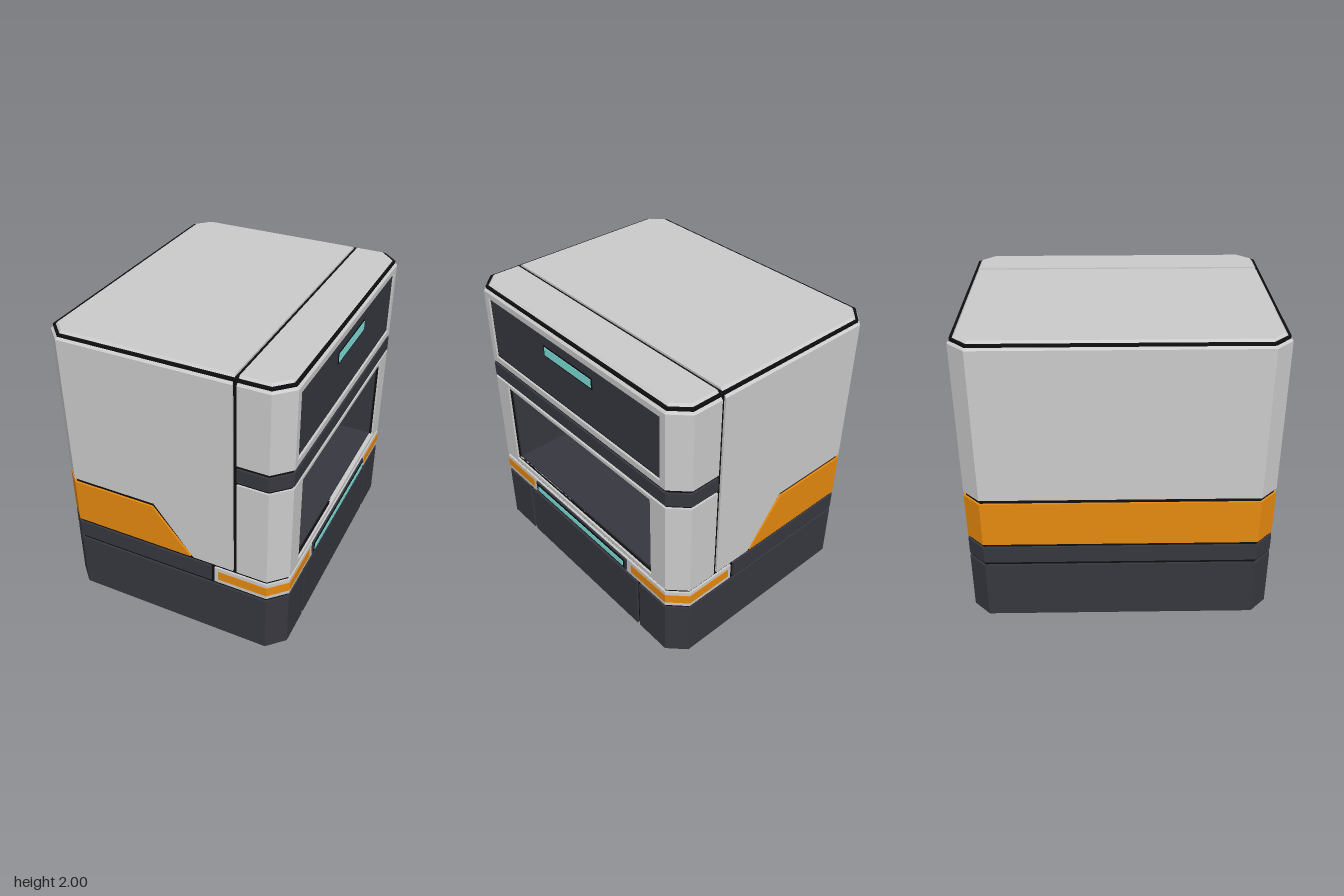
import * as THREE from 'three';
import { ConvexGeometry } from 'three/addons/geometries/ConvexGeometry.js';

const L = -0.805, R = 0.79, F = 1, CHAMFER = 0.11, BEVEL = 0.045;
const paint = (color) => new THREE.MeshStandardMaterial({ color });

export function createModel() {
  const model = new THREE.Group();
  const grey = paint(0xcccccc), dark = paint(0x37383f), black = paint(0x0e0e10);
  const orange = paint(0xe6890f), teal = paint(0x80e4de);

  const add = (name, geometry, material) => {
    const mesh = new THREE.Mesh(geometry, material);
    mesh.name = name;
    model.add(mesh);
  };

  // Part of the chamfered footprint; only bounds on the outer walls are inset.
  const ring = (y, x0, x1, z0, z1, inset) => {
    const xs = [x0, x1], zs = [z0, z1], points = [];
    const c = CHAMFER - inset * (2 - Math.SQRT2);
    for (const i of [0, 1]) for (const j of [0, 1]) {
      const outX = xs[i] === [L, R][i], outZ = zs[j] === [-F, F][j];
      const sx = i ? 1 : -1, sz = j ? 1 : -1;
      const x = xs[i] - (outX ? sx * inset : 0), z = zs[j] - (outZ ? sz * inset : 0);
      if (outX && outZ) {
        points.push(new THREE.Vector3(x - sx * c, y, z), new THREE.Vector3(x, y, z - sz * c));
      } else points.push(new THREE.Vector3(x, y, z));
    }
    return points;
  };
  // Upright slab of the footprint, with an optional bevelled top edge
  const slab = (name, material, y0, y1, { x = [L, R], z = [-F, F], inset = 0, bevel = 0 } = {}) => {
    const at = (y, d) => ring(y, ...x, ...z, d);
    const points = [...at(y0, inset), ...at(y1 - bevel, inset)];
    if (bevel) points.push(...at(y1, inset + bevel));
    add(name, new ConvexGeometry(points), material);
  };
  // Front outline carried through the full depth
  const prism = (name, material, outline) => add(name, new ConvexGeometry(
    outline.flatMap(([x, y]) => [-F, F].map((z) => new THREE.Vector3(x, y, z)))), material);
  const box = (name, material, x0, x1, y0, y1, z0, z1) => add(name,
    new THREE.BoxGeometry(x1 - x0, y1 - y0, z1 - z0)
      .translate((x0 + x1) / 2, (y0 + y1) / 2, (z0 + z1) / 2), material);
  // Same z range on both ends of the body
  const bothEnds = (a, b, make) => { make([a, b]); make([-b, -a]); };

  // Black core seen in the seams, hollow behind the window
  const seam = 0.014;
  slab('lowerCore', black, 0.01, 0.615, { inset: seam });
  slab('upperCore', black, 1.255, 1.986, { inset: seam });
  slab('rearCore', black, 0.615, 1.255, { x: [L, 0.27], inset: seam });
  bothEnds(0.755, F, (z) => slab('sideCore', black, 0.615, 1.255, { x: [0.27, R], z, inset: seam }));

  // Base with two seams on its right side
  slab('base', dark, 0, 0.415, { x: [L, 0.68] });
  slab('baseCentrePanel', dark, 0, 0.415, { x: [0.68, R], z: [-0.607, 0.607] });
  bothEnds(0.632, F, (z) => slab('baseCornerPanel', dark, 0, 0.415, { x: [0.68, R], z }));

  // Belt above the base
  slab('darkBelt', dark, 0.44, 0.56, { x: [L, 0.295] });
  slab('greyBelt', grey, 0.44, 0.56, { x: [0.32, R] });
  bothEnds(0.555, F, (z) => slab('beltMarker', orange, 0.468, 0.534, { x: [0.345, R], z, inset: -0.003 }));

  // Light bar
  box('lightBarFrame', dark, 0.78, 0.8, 0.458, 0.552, -0.512, 0.512);
  box('lightBarBorder', black, 0.79, 0.802, 0.47, 0.54, -0.497, 0.497);
  box('lightBar', teal, 0.79, 0.805, 0.481, 0.523, -0.486, 0.486);

  // Orange skirt with sloped ends
  slab('skirt', orange, 0.585, 0.9, { x: [L, -0.115] });
  prism('skirtSlope', orange, [[-0.115, 0.585], [-0.115, 0.9], [0.15, 0.585]]);

  // Main grey housing
  slab('upperHousing', grey, 1.28, 2, { x: [L, 0.45], bevel: BEVEL });
  slab('middleHousing', grey, 0.93, 1.28, { x: [L, 0.25] });
  prism('lowerHousing', grey, [[-0.102, 0.93], [0.17, 0.585], [0.25, 0.585], [0.25, 0.93]]);
  bothEnds(0.755, F, (z) => slab('housingEnd', grey, 0.585, 1.28, { x: [0.25, 0.45], z }));

  // Right-hand fascia: a frame round an opening
  const fascia = { x: [0.475, R] };
  const frame = (name, y0, y1, hole0, hole1, holeZ, bevel) => {
    slab(name + 'Sill', grey, y0, hole0, { ...fascia, z: [-holeZ, holeZ] });
    slab(name + 'Head', grey, hole1, y1, { ...fascia, bevel });
    bothEnds(holeZ, F, (z) => slab(name + 'Post', grey, y0, hole1, { ...fascia, z }));
  };
  frame('windowSurround', 0.585, 1.28, 0.615, 1.255, 0.755, 0);
  frame('drawerSurround', 1.42, 2, 1.463, 1.915, 0.845, BEVEL);
  slab('fasciaBand', dark, 1.3, 1.395, fascia);

  // Window cavity lining
  box('cavityFloor', dark, 0.265, 0.76, 0.612, 0.63, -0.757, 0.757);
  box('cavityCeiling', dark, 0.265, 0.76, 1.24, 1.258, -0.757, 0.757);
  bothEnds(0.74, 0.757, ([a, b]) => box('cavitySide', dark, 0.265, 0.76, 0.612, 1.258, a, b));

  // Drawer front with its lit handle
  box('drawerFront', dark, 0.7, 0.782, 1.477, 1.902, -0.83, 0.83);
  box('handleBorder', black, 0.75, 0.785, 1.763, 1.842, -0.243, 0.243);
  box('handleLight', teal, 0.75, 0.788, 1.773, 1.832, -0.232, 0.232);

  return model;
}
